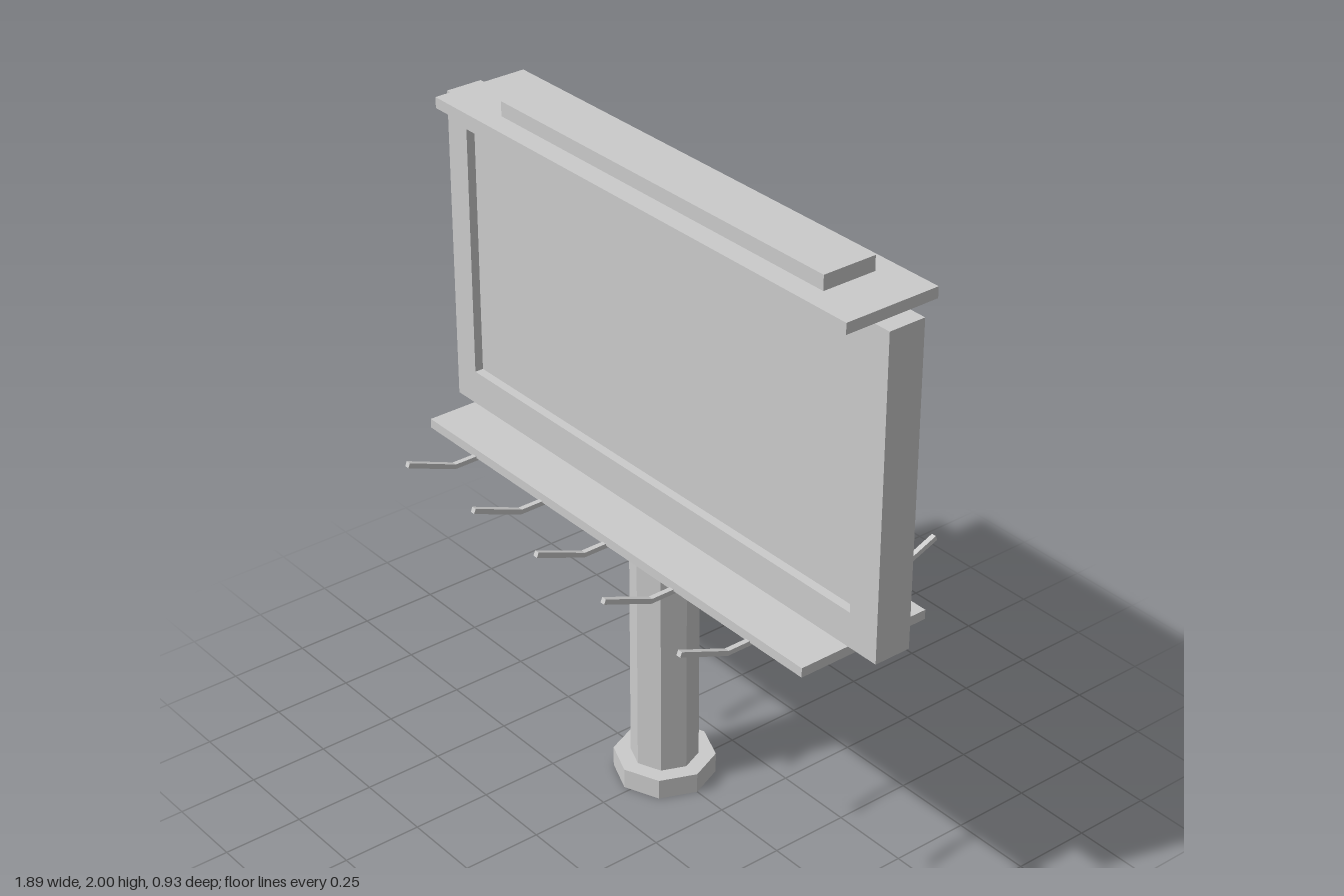
import * as THREE from 'three';

export function createModel() {
  const group = new THREE.Group();
  const grey = new THREE.MeshStandardMaterial({ color: 0xcccccc, flatShading: true });
  const shell = new THREE.MeshStandardMaterial({ color: 0xcccccc, flatShading: true, side: THREE.DoubleSide });

  const add = (name, geometry, material = grey) => {
    const mesh = new THREE.Mesh(geometry, material);
    mesh.name = name;
    group.add(mesh);
    return mesh;
  };
  // Box given by its x and y limits, centred on z
  const slab = (name, x0, x1, y0, y1, halfDepth) =>
    add(name, new THREE.BoxGeometry(x1 - x0, y1 - y0, 2 * halfDepth))
      .position.set((x0 + x1) / 2, (y0 + y1) / 2, 0);
  const rectangle = (P, x0, x1, y0, y1) =>
    new P([[x0, y0], [x1, y0], [x1, y1], [x0, y1]].map(([x, y]) => new THREE.Vector2(x, y)));

  // Hollow octagonal post: open foot, shaft and chamfered collar
  const profile = [
    [0.155, 0], [0.155, 0.065], [0.103, 0.065], [0.103, 0.855],
    [0.12, 0.855], [0.139, 0.875], [0.139, 0.89],
  ].map(([r, y]) => new THREE.Vector2(r, y));
  add('post', new THREE.LatheGeometry(profile, 8), shell).position.x = -0.02;

  // Panel frame with a recessed screen on both sides
  const frame = rectangle(THREE.Shape, -0.945, 0.945, 0.92, 1.92);
  frame.holes.push(rectangle(THREE.Path, -0.855, 0.838, 1.03, 1.83));
  add('panelFrame', new THREE.ExtrudeGeometry(frame, { depth: 0.12, bevelEnabled: false }))
    .position.z = -0.06;
  slab('screen', -0.855, 0.838, 1.03, 1.83, 0.032);

  // Roof boards and walkway
  slab('roofBoard', -0.865, 0.89, 1.92, 1.954, 0.156);
  slab('roofCap', -0.64, 0.727, 1.954, 2, 0.088);
  slab('walkway', -0.865, 0.835, 0.89, 0.92, 0.223);

  // Bent lamp arms running under the walkway, turned up at both ends
  const arm = new THREE.Shape([
    [-0.3, 0.88], [0.3, 0.88], [0.465, 0.945], [0.459, 0.96], [0.297, 0.895],
    [-0.297, 0.895], [-0.459, 0.96], [-0.465, 0.945],
  ].map(([z, y]) => new THREE.Vector2(z, y)));
  const armGeometry = new THREE.ExtrudeGeometry(arm, { depth: 0.016, bevelEnabled: false })
    .translate(0, 0, -0.008).rotateY(-Math.PI / 2);
  for (const x of [-0.641, -0.314, -0.016, 0.288, 0.615]) {
    add('lampArm', armGeometry).position.x = x;
  }

  return group;
}
